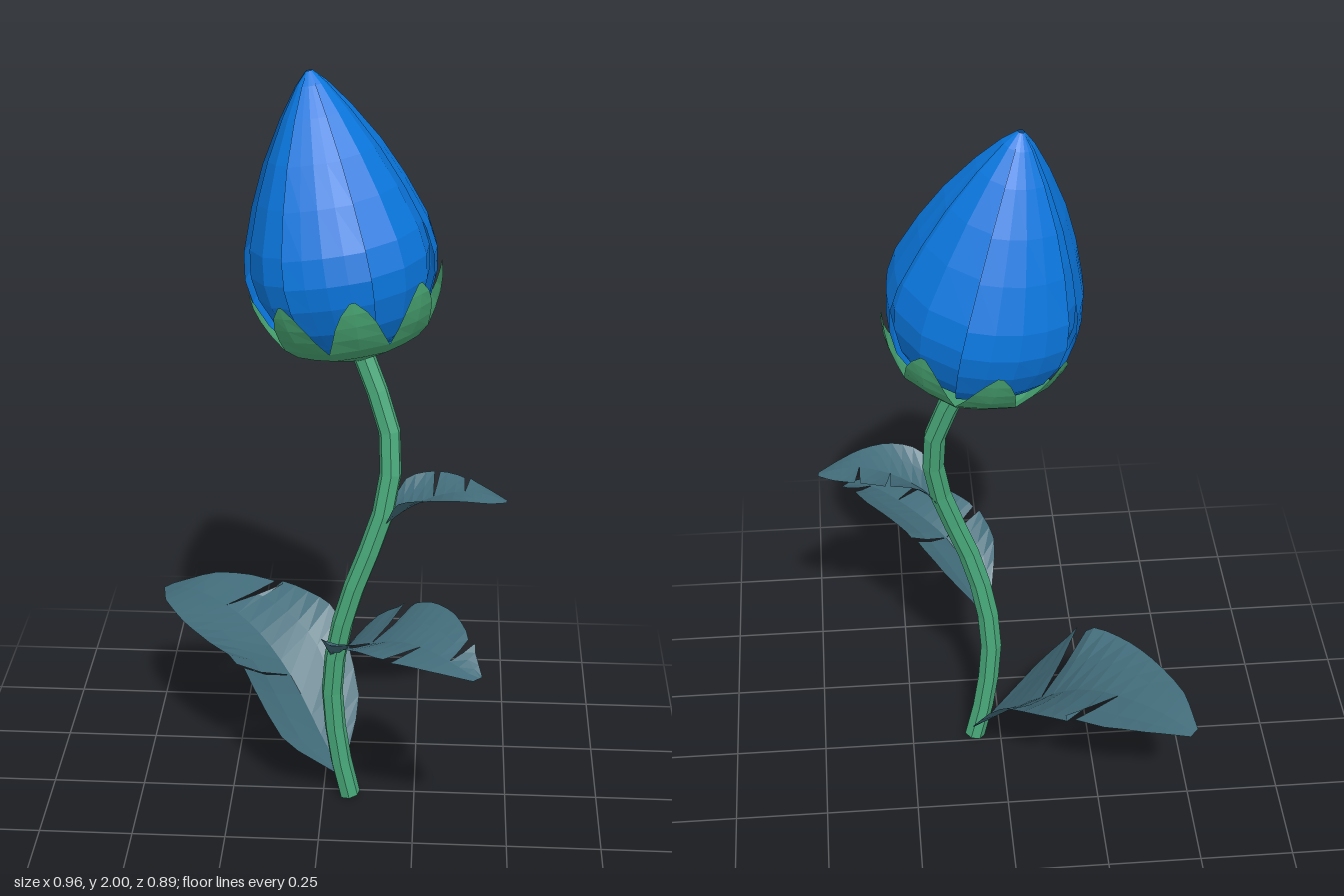
import * as THREE from 'three';

const V = (x, y, z) => new THREE.Vector3(x, y, z);
const RAD = Math.PI / 180;

function makeMaterial(name, color) {
  const m = new THREE.MeshStandardMaterial({ color, flatShading: true, side: THREE.DoubleSide });
  m.name = name;
  return m;
}

// Surface through rows of points; each row has the same length
function loft(grids) {
  const pos = [];
  const tri = (...p) => p.forEach(v => pos.push(v.x, v.y, v.z));
  for (const rows of grids)
    for (let i = 0; i < rows.length - 1; i++)
      for (let j = 0; j < rows[i].length - 1; j++) {
        const a = rows[i][j], b = rows[i][j + 1], c = rows[i + 1][j + 1], d = rows[i + 1][j];
        tri(a, b, c);
        tri(a, c, d);
      }
  const g = new THREE.BufferGeometry();
  g.setAttribute('position', new THREE.Float32BufferAttribute(pos, 3));
  g.computeVertexNormals();
  return g;
}

function addMesh(parent, name, geometry, material) {
  const mesh = new THREE.Mesh(geometry, material);
  mesh.name = name;
  parent.add(mesh);
  return mesh;
}

// Folded leaf. stations: [x, y, z, halfWidth, edgeLift, otherEdgeLift]; notches: [side, station, slant]
const SUB = 3;
function leafGeometry(stations, notches, gap) {
  const n = stations.length - 1, first = stations[0], last = stations[n];
  const dir = V(last[0] - first[0], 0, last[2] - first[2]).normalize();
  const across = V(-dir.z, 0, dir.x);
  const rib = new THREE.CatmullRomCurve3(stations.map(s => V(s[0], s[1], s[2])));
  const shape = new THREE.CatmullRomCurve3(stations.map(s => V(s[3], s[4], s[5])));
  const grids = [];
  for (const side of [1, -1]) {
    const row = (t, shift) => [0, 0.55, 1].map(u => {
      const s = shape.getPoint(t);
      return rib.getPoint(t)
        .add(V(0, (side > 0 ? s.y : s.z) * Math.pow(u, 1.3), 0))
        .addScaledVector(across, side * s.x * u)
        .addScaledVector(dir, shift * u);
    });
    let rows = [];
    for (let i = 0; i <= n * SUB; i++) {
      const t = i / (n * SUB);
      const notch = notches.find(k => k[0] === side && k[1] * SUB === i);
      if (notch) {
        rows.push(row(t, notch[2] - gap));
        grids.push(rows);
        rows = [row(t, notch[2] + gap)];
      } else rows.push(row(t, 0));
    }
    grids.push(rows);
  }
  return loft(grids);
}

// Bud outline: [height along axis, radius]
const BUD = [[0.03, 0.08], [0.08, 0.16], [0.13, 0.2], [0.2, 0.23], [0.26, 0.239], [0.33, 0.229],
  [0.44, 0.189], [0.54, 0.143], [0.64, 0.086], [0.71, 0.038], [0.742, 0.008]];

// Petal around the bud axis; rIn and rOut scale the radius at its two edges
function petalGeometry(center, width, rIn, rOut, curl) {
  const n = 4;
  const rows = BUD.map(([h, r]) => Array.from({ length: n + 1 }, (_, j) => {
    const u = j / n, a = (center + (u - 0.5) * width) * RAD;
    const edge = Math.pow(Math.abs(u - 0.5) * 2, 3) * curl * Math.min(1, r / 0.15);
    const R = r * (rIn + (rOut - rIn) * u) + edge;
    return V(Math.cos(a) * R, h, Math.sin(a) * R);
  }));
  return loft([rows]);
}

export function createModel() {
  const group = new THREE.Group();
  group.name = 'flower';
  const blue = makeMaterial('petal blue', 0x0a77de);
  const stemGreen = makeMaterial('stem green', 0x48a87a);
  const sepalGreen = makeMaterial('sepal green', 0x48a472);
  const leafTeal = makeMaterial('leaf teal', 0x426c7a);

  // Stem
  const path = new THREE.CatmullRomCurve3([V(0.073, 0.006, 0.025), V(0.048, 0.12, 0.028), V(0.025, 0.36, 0.035),
    V(0.065, 0.6, 0.05), V(0.12, 0.76, 0.05), V(0.167, 0.92, 0.038), V(0.17, 1.08, 0.008), V(0.095, 1.29, -0.032)]);
  addMesh(group, 'stem', new THREE.TubeGeometry(path, 12, 0.029, 7), stemGreen);
  const cap = addMesh(group, 'stemEnd', new THREE.CircleGeometry(0.029, 7), stemGreen);
  cap.position.copy(path.getPoint(0));
  cap.quaternion.setFromUnitVectors(V(0, 0, 1), path.getTangent(0).negate());

  // Leaves
  addMesh(group, 'lowerLeaf', leafGeometry([
    [0.045, 0.07, 0.01, 0.02, 0, 0], [-0.01, 0.15, -0.04, 0.155, 0.06, 0.06], [-0.1, 0.28, -0.135, 0.195, 0.11, 0.11],
    [-0.19, 0.37, -0.205, 0.195, 0.06, 0.05], [-0.29, 0.415, -0.285, 0.165, 0.025, 0.01],
    [-0.4, 0.42, -0.37, 0.1, 0.015, 0], [-0.472, 0.4, -0.425, 0.018, 0, 0]],
  [[1, 4, -0.045], [-1, 2, 0]], 0.014), leafTeal);
  addMesh(group, 'middleLeaf', leafGeometry([
    [0.035, 0.45, 0.045, 0.015, 0, 0], [0.075, 0.52, 0.125, 0.1, 0.06, 0.06], [0.135, 0.58, 0.21, 0.125, 0.03, 0.07],
    [0.195, 0.615, 0.26, 0.126, 0.015, 0.07], [0.262, 0.635, 0.32, 0.115, 0, 0.055], [0.335, 0.635, 0.39, 0.075, 0, 0.03],
    [0.405, 0.612, 0.435, 0.016, 0, 0]], [[1, 2, 0], [-1, 2, 0], [1, 4, 0], [-1, 5, 0]], 0.012), leafTeal);
  addMesh(group, 'upperLeaf', leafGeometry([
    [0.16, 0.835, 0.045, 0.012, 0, 0], [0.205, 0.88, 0.053, 0.08, 0.06, 0.06], [0.285, 0.93, 0.06, 0.093, 0.03, 0.03],
    [0.365, 0.95, 0.067, 0.073, 0.005, 0.005], [0.43, 0.943, 0.072, 0.04, -0.005, -0.005],
    [0.473, 0.928, 0.075, 0.008, 0, 0]], [[-1, 2, 0], [-1, 3, 0]], 0.007), leafTeal);

  // Bud, leaning along its own axis
  const bud = new THREE.Group();
  bud.name = 'bud';
  bud.position.set(0.089, 1.27, -0.032);
  bud.quaternion.setFromUnitVectors(V(0, 1, 0), V(-0.13, 0.73, -0.046).normalize());
  group.add(bud);

  // Inner petals overlap in a pinwheel, outer petals lie over them
  [-45, 45, 145, 225].forEach(a => addMesh(bud, 'innerPetal', petalGeometry(a, 108, 0.93, 0.99, 0), blue));
  [[-106, 66], [0, 40], [96, 52], [190, 44]].forEach(([a, w]) =>
    addMesh(bud, 'outerPetal', petalGeometry(a, w, 1.005, 1.005, 0.009), blue));

  // Calyx: faceted cup with eight pointed sepals
  const grids = [];
  for (let k = 0; k < 8; k++) {
    const mid = 83 + k * 45;
    const at = (deg, h, r) => V(Math.cos((mid + deg) * RAD) * r, h, Math.sin((mid + deg) * RAD) * r);
    const strip = (half, h, r) => [at(-half, h, r), at(0, h, r * (half > 20 ? 0.96 : 1)), at(half, h, r)];
    grids.push([strip(22.5, 0, 0.022), strip(22.5, 0.05, 0.165), strip(22.5, 0.078, 0.197),
      strip(17, 0.115, 0.217), strip(13, 0.15, 0.233), strip(8, 0.185, 0.243), strip(1.5, 0.215, 0.247)]);
  }
  addMesh(bud, 'sepals', loft(grids), sepalGreen);

  return group;
}
